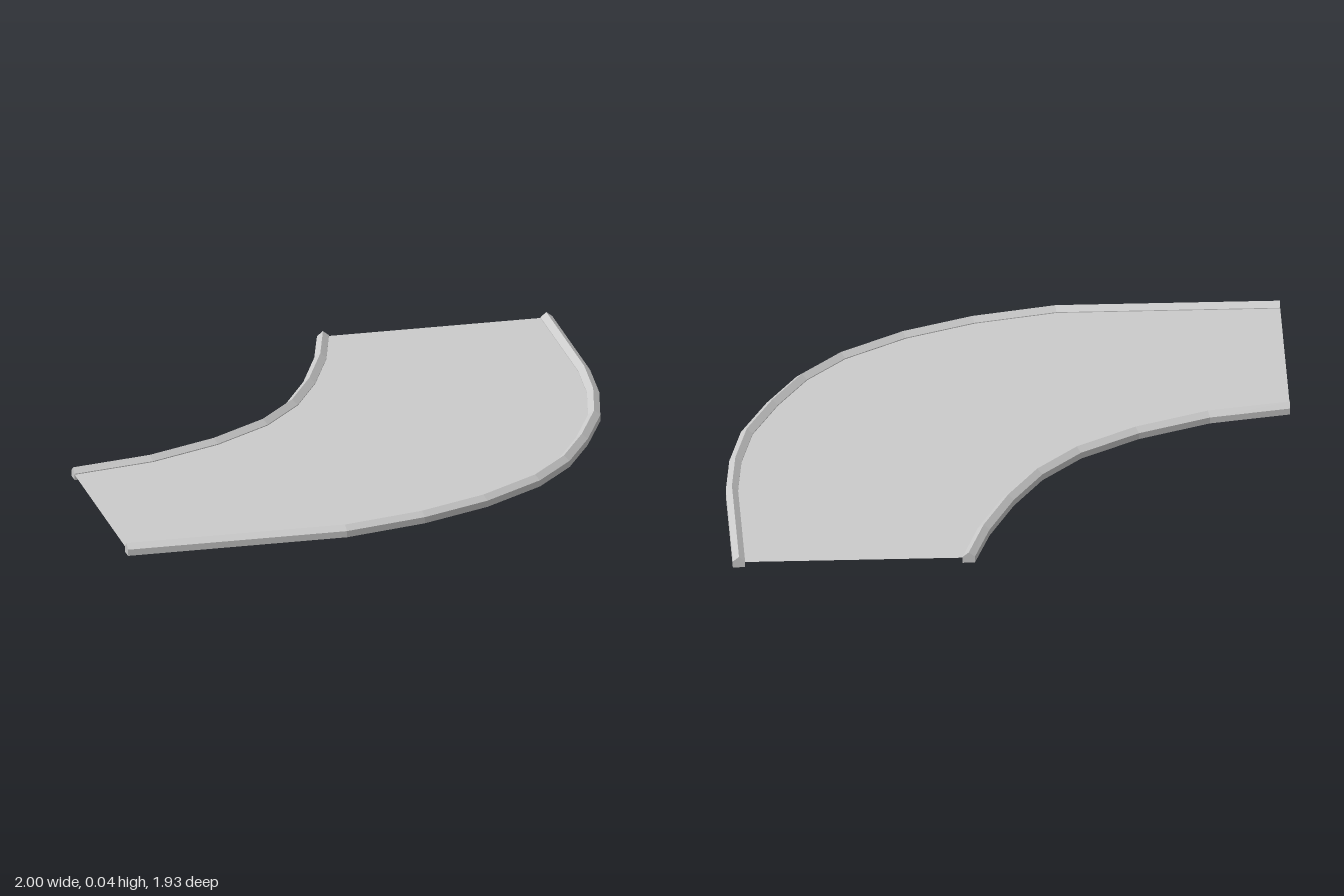
import * as THREE from 'three';

// Centre lines of the two kerbs as [x, z], from the left-hand end round to the back end
const outerPath = [
  [-1, 0.943], [-0.214, 0.943], [0.08, 0.872], [0.328, 0.765], [0.551, 0.612], [0.695, 0.45],
  [0.807, 0.254], [0.906, 0.033], [0.956, -0.187], [0.978, -0.41], [0.978, -0.965],
];
const innerPath = [
  [-1, 0.158], [-0.71, 0.1], [-0.452, -0.013], [-0.24, -0.158],
  [-0.094, -0.324], [0.016, -0.52], [0.112, -0.75], [0.174, -0.965],
];

// Kerb cross-section: upright sides under a ridged top, as [offset, height]
const HALF = 0.0215;
const profile = [[-HALF, 0], [HALF, 0], [HALF, 0.023], [0, 0.04], [-HALF, 0.023]];
const ROAD_HEIGHT = 0.02;

// Sideways direction at each path point, mitred at bends and cut square to the axes at the ends
function sideways(path, i) {
  if (i === 0) return [0, 1];
  if (i === path.length - 1) return [1, 0];
  const normal = (a, b) => new THREE.Vector2(a[1] - b[1], b[0] - a[0]).normalize();
  const n0 = normal(path[i - 1], path[i]);
  const n1 = normal(path[i], path[i + 1]);
  const mitre = n0.clone().add(n1).normalize();
  mitre.divideScalar(mitre.dot(n0));
  return [mitre.x, mitre.y];
}

// Sweep the kerb profile along a path and close both ends
function kerbGeometry(path) {
  const positions = [];
  const index = [];
  const n = profile.length;
  path.forEach(([x, z], i) => {
    const [sx, sz] = sideways(path, i);
    for (const [u, y] of profile) positions.push(x + sx * u, y, z + sz * u);
  });
  for (let i = 0; i < path.length - 1; i++) {
    for (let j = 0; j < n; j++) {
      const a = i * n + j;
      const b = i * n + ((j + 1) % n);
      index.push(a, a + n, b + n, a, b + n, b);
    }
  }
  const last = (path.length - 1) * n;
  for (let j = 1; j < n - 1; j++) {
    index.push(0, j, j + 1);
    index.push(last, last + j + 1, last + j);
  }
  const geometry = new THREE.BufferGeometry();
  geometry.setAttribute('position', new THREE.Float32BufferAttribute(positions, 3));
  geometry.setIndex(index);
  const flat = geometry.toNonIndexed();
  flat.computeVertexNormals();
  return flat;
}

export function createModel() {
  const group = new THREE.Group();
  group.name = 'roadBend';
  const material = new THREE.MeshStandardMaterial({
    color: 0xcccccc, flatShading: true, side: THREE.DoubleSide,
  });
  const add = (name, geometry) => {
    const mesh = new THREE.Mesh(geometry, material);
    mesh.name = name;
    group.add(mesh);
  };

  // Thin road sheet spanning between the kerb centre lines
  const outline = [...outerPath, ...innerPath.slice().reverse()];
  const road = new THREE.ShapeGeometry(
    new THREE.Shape(outline.map(([x, z]) => new THREE.Vector2(x, -z))),
  );
  road.rotateX(-Math.PI / 2);
  road.translate(0, ROAD_HEIGHT, 0);
  add('roadSurface', road);

  // Kerbs along both sides of the bend
  add('outerKerb', kerbGeometry(outerPath));
  add('innerKerb', kerbGeometry(innerPath));
  return group;
}
